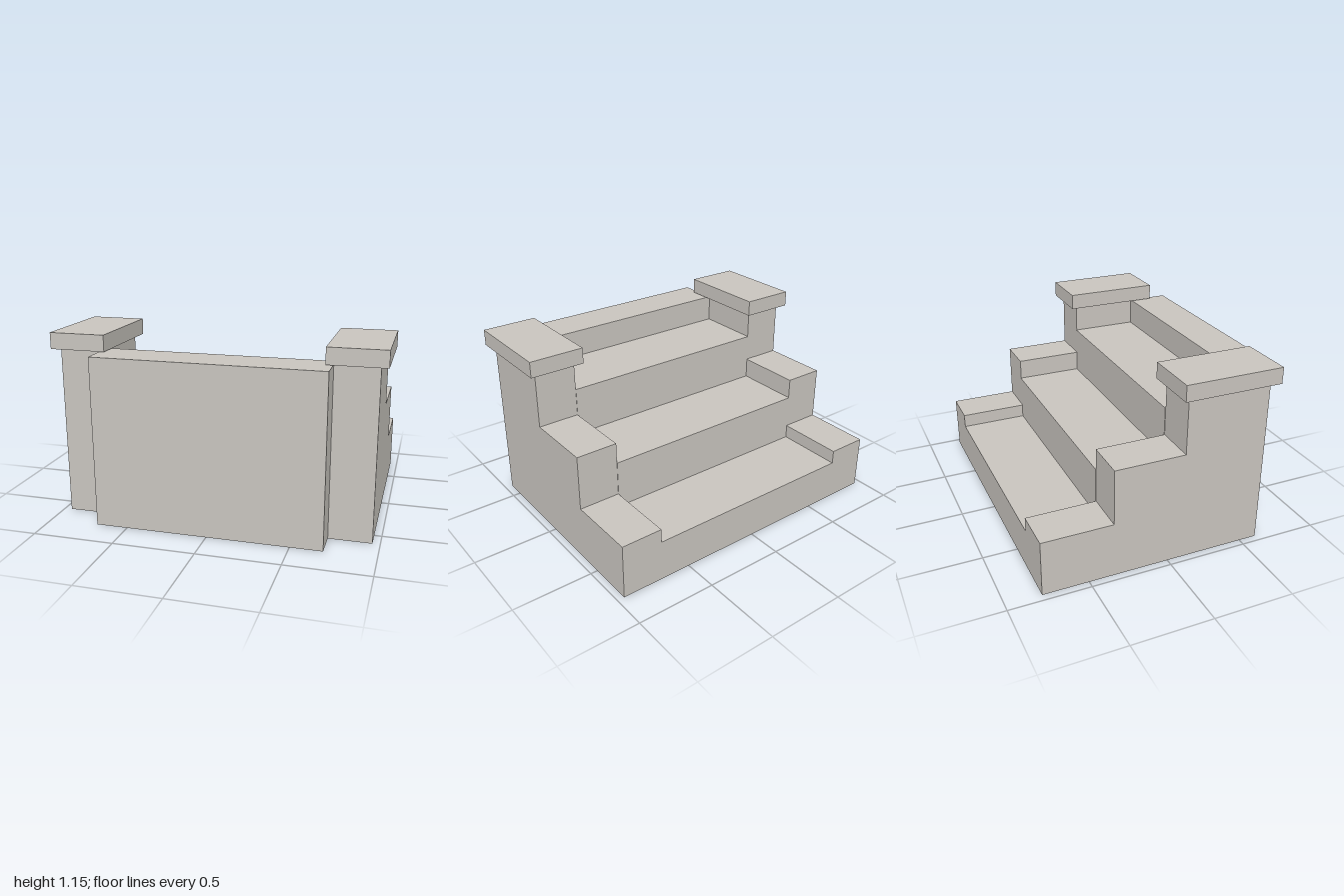
import * as THREE from 'three';

// Extrude a (z, y) side profile along x, centred on centreX
function extrudeProfile(name, points, width, centreX, material) {
  const shape = new THREE.Shape(points.map(([z, y]) => new THREE.Vector2(z, y)));
  const geometry = new THREE.ExtrudeGeometry(shape, { depth: width, bevelEnabled: false });
  geometry.translate(0, 0, -width / 2);
  geometry.rotateY(-Math.PI / 2);
  const mesh = new THREE.Mesh(geometry, material);
  mesh.name = name;
  mesh.position.x = centreX;
  return mesh;
}

// Stair outline: tops[i] is the height between edges[i] and edges[i + 1]
function stairProfile(edges, tops) {
  const points = [[edges[0], 0]];
  tops.forEach((y, i) => points.push([edges[i], y], [edges[i + 1], y]));
  points.push([edges[edges.length - 1], 0]);
  return points;
}

export function createModel() {
  const group = new THREE.Group();
  group.name = 'steps';
  const stone = new THREE.MeshStandardMaterial({ color: 0xc9c5bf });
  stone.name = 'pale stone';

  // Central flight, rising from the back to the front landing
  const flight = stairProfile([-0.784, -0.35, 0.087, 0.52, 0.784], [0.262, 0.567, 0.872, 1.045]);
  group.add(extrudeProfile('stairFlight', flight, 1.39, 0, stone));

  // Stepped side walls with overhanging capstones
  const wall = stairProfile([-0.784, -0.347, 0.09, 0.612], [0.35, 0.698, 1.05]);
  for (const side of [1, -1]) {
    const label = side > 0 ? 'left' : 'right';
    group.add(extrudeProfile(label + 'SideWall', wall, 0.26, side * 0.825, stone));

    const cap = new THREE.Mesh(new THREE.BoxGeometry(0.345, 0.1, 0.61), stone);
    cap.name = label + 'Capstone';
    cap.position.set(side * 0.8275, 1.1, 0.35);
    group.add(cap);
  }
  return group;
}
